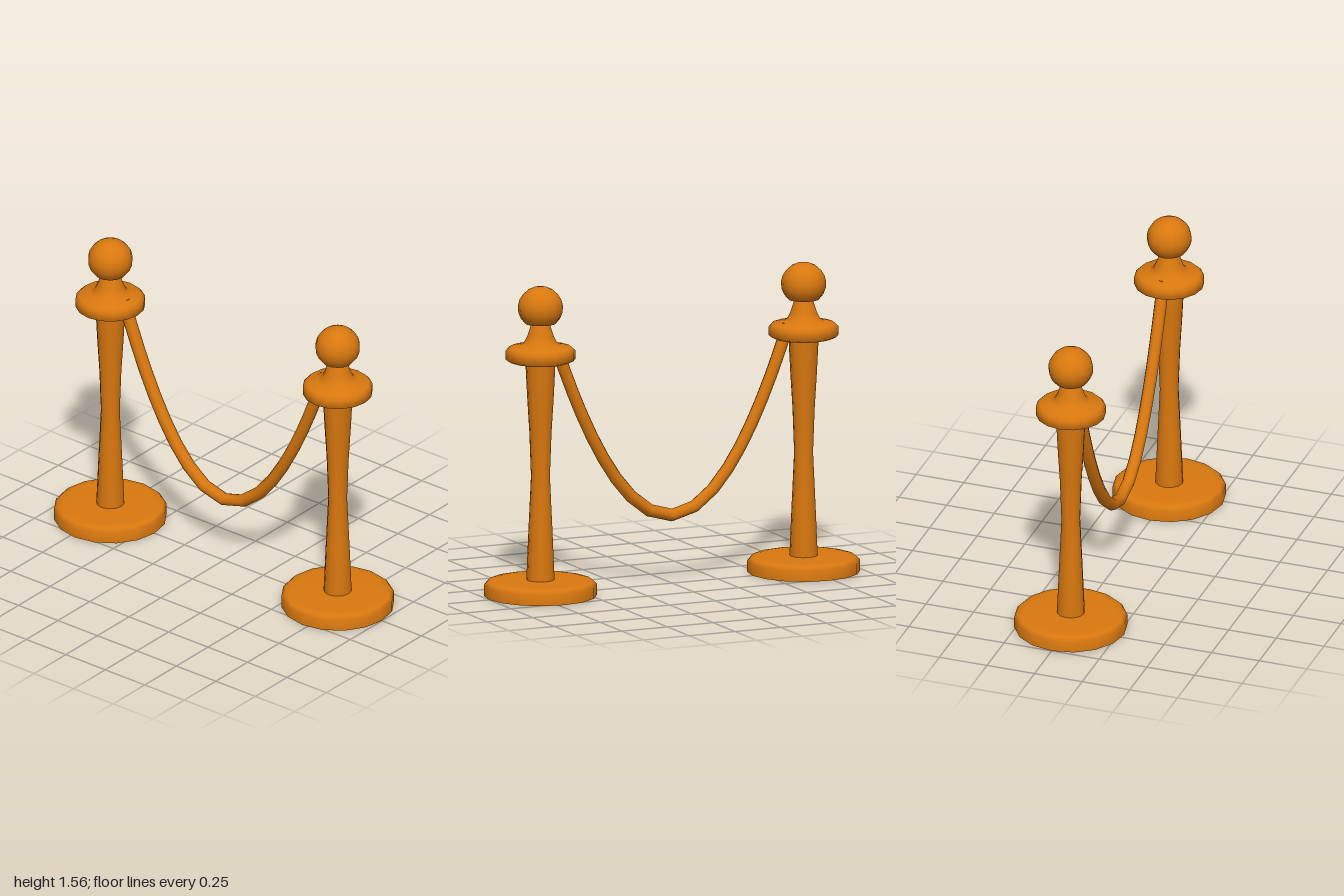
import * as THREE from 'three';

const material = new THREE.MeshStandardMaterial({ color: 0xd9780f, side: THREE.DoubleSide });

// Turned part from [radius, height] pairs, listed bottom to top
function turned(name, sides, profile) {
  const points = profile.map(([r, y]) => new THREE.Vector2(r, y));
  const mesh = new THREE.Mesh(new THREE.LatheGeometry(points, sides), material);
  mesh.name = name;
  return mesh;
}

function createStand(name) {
  const stand = new THREE.Group();
  stand.name = name;
  stand.add(
    // Hollow foot, open underneath
    turned('base', 16, [[0.28, 0], [0.28, 0.055], [0.263, 0.072], [0.225, 0.08], [0.06, 0.08]]),
    // Waisted open tube
    turned('post', 12, [[0.068, 0.02], [0.07, 0.08], [0.059, 0.34], [0.047, 0.6],
      [0.055, 0.82], [0.066, 1.0], [0.075, 1.18], [0.075, 1.22]]),
    // Hollow flared collar with a narrow neck
    turned('collar', 16, [[0.15, 1.178], [0.173, 1.19], [0.173, 1.232], [0.155, 1.249],
      [0.1, 1.261], [0.08, 1.275], [0.066, 1.305], [0.045, 1.368]])
  );

  // Ball finial cut flat below, with a small gap above the neck
  const finial = new THREE.Mesh(
    new THREE.SphereGeometry(0.112, 14, 8, 0, Math.PI * 2, 0, Math.PI * 0.76), material);
  finial.name = 'finial';
  finial.scale.y = 0.87;
  finial.position.y = 1.457;
  finial.scale.set(1, 0.96, 1);
  finial.position.y = 1.448;
  stand.add(finial);
  return stand;
}

// Sagging rope along a parabola
class RopeCurve extends THREE.Curve {
  getPoint(t, target = new THREE.Vector3()) {
    const x = (2 * t - 1) * 0.635;
    return target.set(x, 0.343 + 2.25 * x * x, 0);
  }
}

export function createModel() {
  const model = new THREE.Group();
  model.name = 'ropeBarrier';

  for (const side of [-1, 1]) {
    const stand = createStand(side < 0 ? 'rightStand' : 'leftStand');
    stand.position.x = side * 0.72;
    model.add(stand);
  }

  const rope = new THREE.Mesh(
    new THREE.TubeGeometry(new RopeCurve(), 18, 0.032, 8, false), material);
  rope.name = 'rope';
  model.add(rope);
  return model;
}
